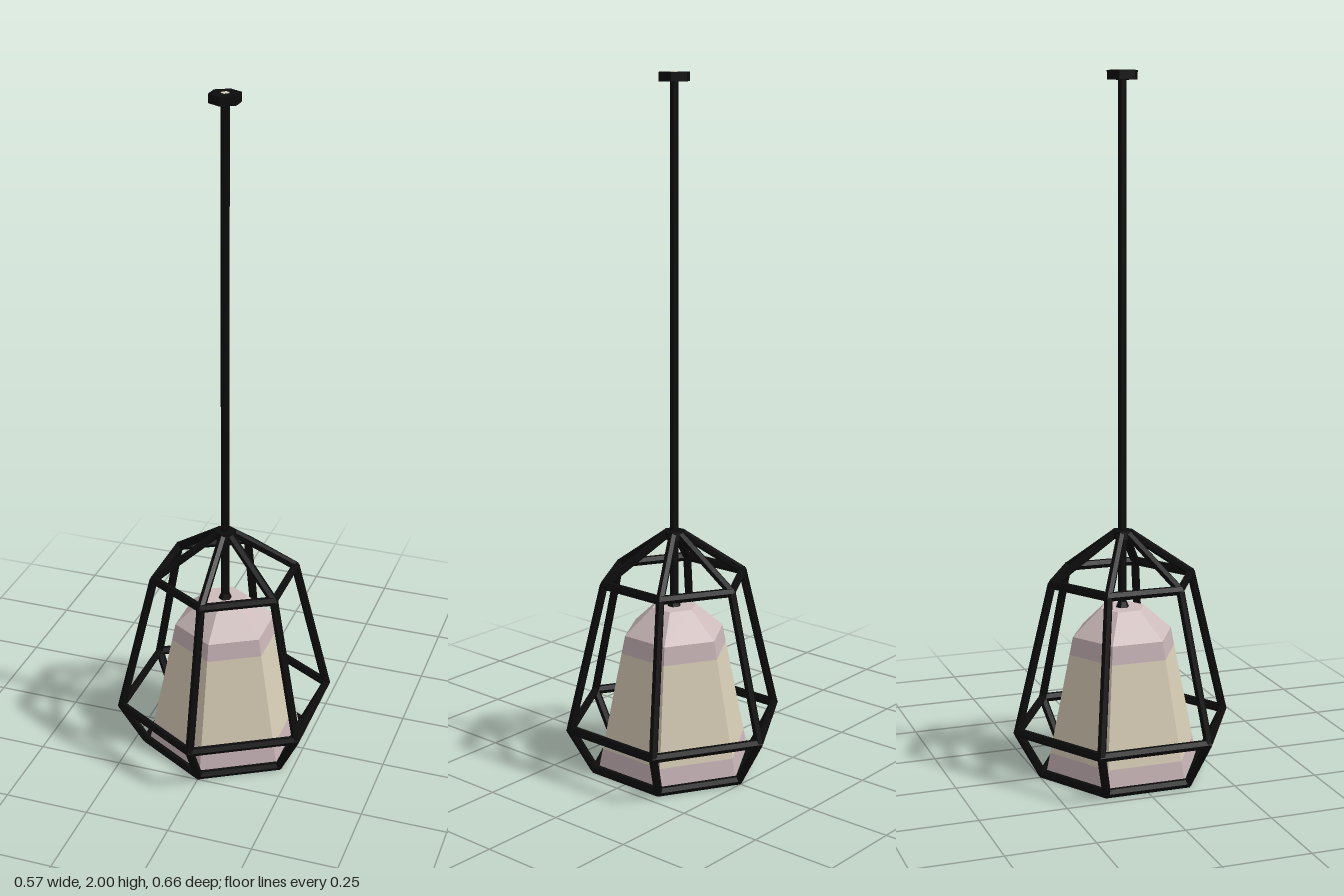
import * as THREE from 'three';

const mat = (name, color, extra = {}) => {
  const m = new THREE.MeshStandardMaterial({ color, flatShading: true, ...extra });
  m.name = name;
  return m;
};

export function createModel() {
  const black = mat('black metal', 0x0c0c0c);
  const cream = mat('cream glass', 0xd6ccb5);
  const mauve = mat('mauve glass', 0xc6b2b5);
  const pink = mat('pale pink glass', 0xcdbbbb);

  const group = new THREE.Group();
  const add = (name, geometry, material, parent = group) => {
    const mesh = new THREE.Mesh(geometry, material);
    mesh.name = name;
    parent.add(mesh);
    return mesh;
  };
  // six-sided section with a corner on +z
  const hex = (rTop, rBottom, y0, y1, open = false) =>
    new THREE.CylinderGeometry(rTop, rBottom, y1 - y0, 6, 1, open).translate(0, (y0 + y1) / 2, 0);

  // straight bar between two points
  const up = new THREE.Vector3(0, 1, 0);
  const bar = (name, a, b, r, parent) => {
    const dir = b.clone().sub(a);
    const mesh = add(name, new THREE.CylinderGeometry(r, r, dir.length(), 6), black, parent);
    mesh.position.copy(a).add(b).multiplyScalar(0.5);
    mesh.quaternion.setFromUnitVectors(up, dir.normalize());
  };

  // ceiling plate, rod and lamp holder
  add('ceilingPlate', hex(0.045, 0.045, 1.974, 1.999), black);
  add('rodEnd', hex(0.012, 0.012, 1.998, 2), cream);
  add('rod', hex(0.0125, 0.0125, 0.48, 1.98), black);
  add('holder', hex(0.013, 0.021, 0.484, 0.502), black);

  // wire cage: [radius, height] of each level, bottom to top
  const cage = new THREE.Group();
  cage.name = 'cage';
  group.add(cage);
  const levels = [[0.244, 0.0135], [0.316, 0.145], [0.212, 0.57], [0.026, 0.7]];
  const barRadius = 0.0135;
  levels.slice(0, 3).forEach(([r, y]) => {
    const ring = new THREE.TorusGeometry(r, barRadius, 6, 6);
    ring.rotateX(Math.PI / 2).rotateY(Math.PI / 2).translate(0, y, 0);
    add('cageRing', ring, black, cage);
  });
  for (let i = 0; i < 6; i++) {
    const a = (i * Math.PI) / 3;
    const pts = levels.map(([r, y]) => new THREE.Vector3(r * Math.sin(a), y, r * Math.cos(a)));
    for (let k = 0; k < 3; k++) bar('cageBar', pts[k], pts[k + 1], 0.0125, cage);
  }
  add('cageHub', hex(0.032, 0.036, 0.69, 0.712), black, cage);

  // closed glass shade, stacked in coloured bands
  const shade = new THREE.Group();
  shade.name = 'shade';
  group.add(shade);
  const wall = (y) => THREE.MathUtils.mapLinear(y, 0.018, 0.41, 0.231, 0.15);
  const band = (name, y0, y1, material) =>
    add(name, hex(wall(y1), wall(y0), y0, y1, true), material, shade);
  band('shadeRim', 0.018, 0.072, mauve);
  band('shadeWall', 0.072, 0.358, cream);
  band('shadeShoulder', 0.358, 0.41, mauve);
  add('shadeSlope', hex(0.066, 0.15, 0.41, 0.486, true), pink, shade);
  const disc = (r) => new THREE.CircleGeometry(r, 6, Math.PI / 2);
  add('shadeTop', disc(0.066).rotateX(-Math.PI / 2).translate(0, 0.486, 0), pink, shade);
  add('shadeBase', disc(0.231).rotateX(Math.PI / 2).translate(0, 0.018, 0), cream, shade);

  return group;
}
